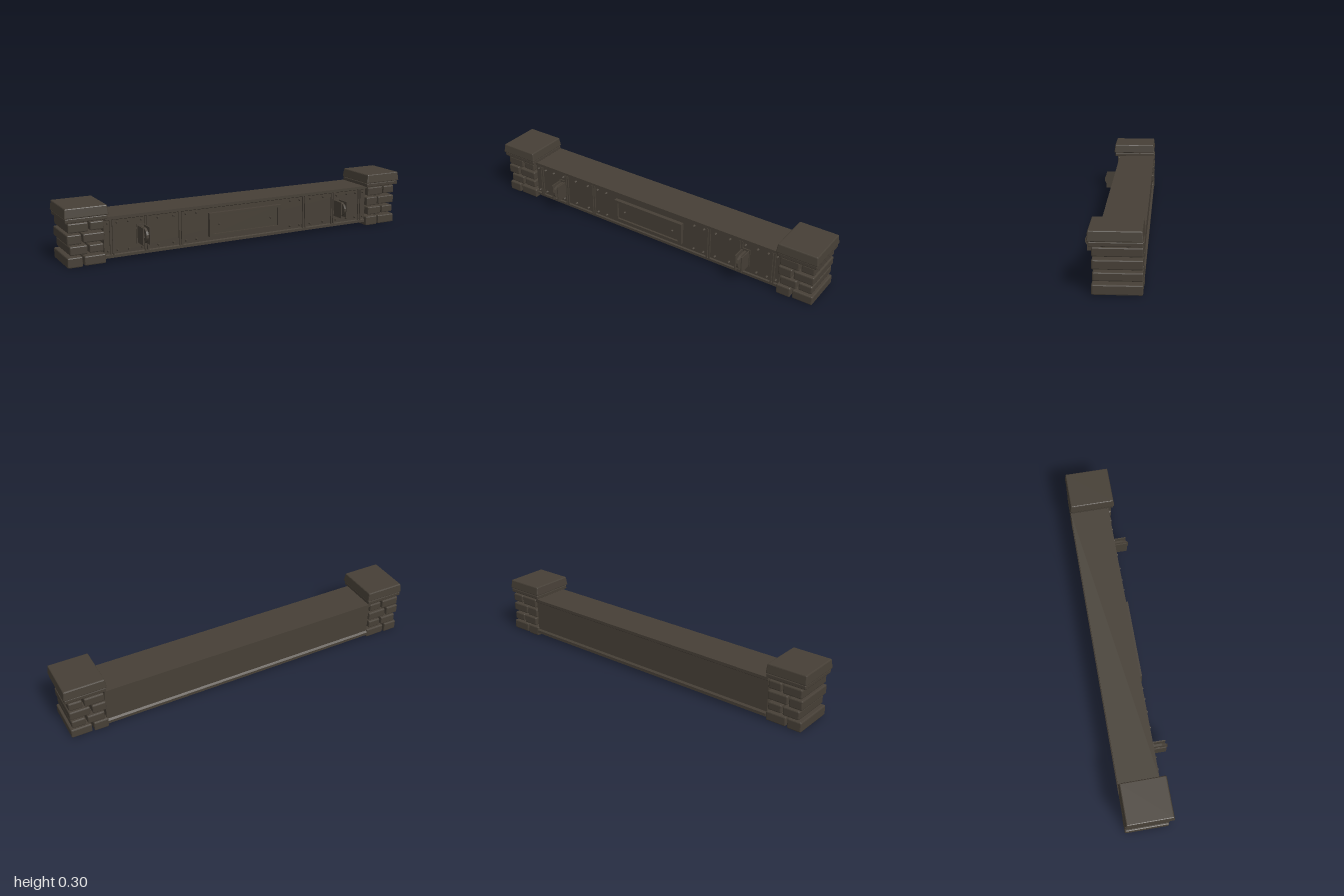
import * as THREE from 'three';
import { RoundedBoxGeometry } from 'three/addons/geometries/RoundedBoxGeometry.js';

const material = new THREE.MeshStandardMaterial({ color: 0x463f36 });
material.name = 'weathered dark brown';

function add(parent, name, geometry, x = 0, y = 0, z = 0) {
  const mesh = new THREE.Mesh(geometry, material);
  mesh.name = name;
  mesh.position.set(x, y, z);
  parent.add(mesh);
  return mesh;
}

// Plain box given by its limits
function box(parent, name, x0, x1, y0, y1, z0, z1) {
  return add(parent, name, new THREE.BoxGeometry(x1 - x0, y1 - y0, z1 - z0),
    (x0 + x1) / 2, (y0 + y1) / 2, (z0 + z1) / 2);
}

// Flat-faced block with chamfered edges; the top can be drawn in
function block(parent, name, x0, x1, y0, y1, z0, z1, chamfer, taper = 0) {
  const w = x1 - x0, h = y1 - y0, d = z1 - z0;
  const geometry = new RoundedBoxGeometry(w, h, d, 1, chamfer);
  const p = geometry.attributes.position;
  for (let i = 0; i < p.count; i++) {
    const t = taper * (p.getY(i) / h + 0.5);
    p.setX(i, p.getX(i) * (1 - 2 * t / w));
    p.setZ(i, p.getZ(i) * (1 - 2 * t / d));
  }
  geometry.computeVertexNormals();
  return add(parent, name, geometry, (x0 + x1) / 2, (y0 + y1) / 2, (z0 + z1) / 2);
}

// Stone pillar: four rows of through-bricks under a two-step cap
function makePillar(name, x) {
  const pillar = new THREE.Group();
  pillar.name = name;
  pillar.position.x = x;
  const rows = [ // y0, y1, outer limits and joint in x, front z
    [0.003, 0.056, -0.1, 0.097, -0.018, 0.087],
    [0.064, 0.11, -0.085, 0.088, 0.01, 0.083],
    [0.119, 0.169, -0.098, 0.093, -0.02, 0.086],
    [0.178, 0.226, -0.092, 0.092, 0.016, 0.086],
  ];
  for (const [y0, y1, x0, x1, joint, front] of rows) {
    block(pillar, 'brick', x0, joint - 0.005, y0, y1, -0.146, front, 0.006);
    block(pillar, 'brick', joint + 0.005, x1, y0 + 0.002, y1 - 0.002, -0.144, front - 0.003, 0.006);
  }
  block(pillar, 'capLower', -0.107, 0.107, 0.231, 0.253, -0.143, 0.096, 0.004);
  block(pillar, 'capUpper', -0.112, 0.112, 0.254, 0.304, -0.146, 0.103, 0.005, 0.006);
  return pillar;
}

// Towing bracket: two side plates around an eight-sided eye
function makeBracket(x) {
  const bracket = new THREE.Group();
  bracket.name = 'bracket';
  bracket.position.x = x;
  box(bracket, 'bracketBase', -0.025, 0.025, 0.078, 0.178, 0.058, 0.066);
  for (const s of [-1, 1]) {
    box(bracket, 'bracketPlate', s * 0.018 - 0.003, s * 0.018 + 0.003, 0.083, 0.173, 0.06, 0.138);
  }
  const eye = new THREE.Shape();
  eye.setFromPoints([[0.06, 0.09], [0.118, 0.09], [0.14, 0.108], [0.148, 0.122], [0.148, 0.138],
    [0.14, 0.155], [0.118, 0.168], [0.06, 0.168]].map(([z, y]) => new THREE.Vector2(-z, y)));
  const hole = new THREE.Path();
  hole.absarc(-0.102, 0.129, 0.02, 0, Math.PI * 2, false);
  eye.holes.push(hole);
  const geometry = new THREE.ExtrudeGeometry(eye, { depth: 0.012, bevelEnabled: false, curveSegments: 5 });
  geometry.rotateY(Math.PI / 2).translate(-0.006, 0, 0);
  add(bracket, 'bracketEye', geometry);
  return bracket;
}

export function createModel() {
  const model = new THREE.Group();
  model.name = 'beamBetweenPillars';
  model.add(makePillar('rightPillar', -0.886), makePillar('leftPillar', 0.886));

  // Long beam with flanges at the top and bottom, extruded along x
  const profile = new THREE.Shape([[0.068, 0.022], [0.068, 0.036], [0.06, 0.04], [0.06, 0.214],
    [0.068, 0.218], [0.068, 0.234], [-0.145, 0.234], [-0.145, 0.218], [-0.134, 0.21],
    [-0.134, 0.045], [-0.145, 0.038], [-0.145, 0.022]].map(([z, y]) => new THREE.Vector2(-z, y)));
  const beam = new THREE.ExtrudeGeometry(profile, { depth: 1.58, bevelEnabled: false });
  beam.rotateY(Math.PI / 2).translate(-0.79, 0, 0);
  add(model, 'beam', beam);

  // Upright seams and rivets, mirrored on both halves
  const rivet = new THREE.CylinderGeometry(0.005, 0.007, 0.014, 8).rotateX(Math.PI / 2);
  for (const s of [-1, 1]) {
    for (const x of [0.75, 0.565, 0.375]) {
      for (const dx of [-0.007, 0.007]) {
        const c = s * x + dx;
        box(model, 'seamStrip', c - 0.004, c + 0.004, 0.036, 0.216, 0.058, 0.068);
      }
    }
    for (const x of [0.77, 0.72, 0.66, 0.59, 0.5, 0.415, 0.345, 0.285]) {
      for (const y of [0.058, 0.2]) add(model, 'rivet', rivet, s * x, y, 0.067);
    }
    add(model, 'plateScrew', rivet, s * 0.155, 0.125, 0.074);
    model.add(makeBracket(s * 0.593));
  }

  // Framed plate in the middle of the front
  box(model, 'centrePlate', -0.217, 0.217, 0.063, 0.19, 0.058, 0.07);
  for (const y of [0.07, 0.183]) {
    box(model, 'plateFrame', -0.217, 0.217, y - 0.007, y + 0.007, 0.06, 0.081);
  }
  for (const x of [-0.207, 0.207]) {
    box(model, 'plateFrame', x - 0.01, x + 0.01, 0.077, 0.176, 0.06, 0.081);
  }
  return model;
}
